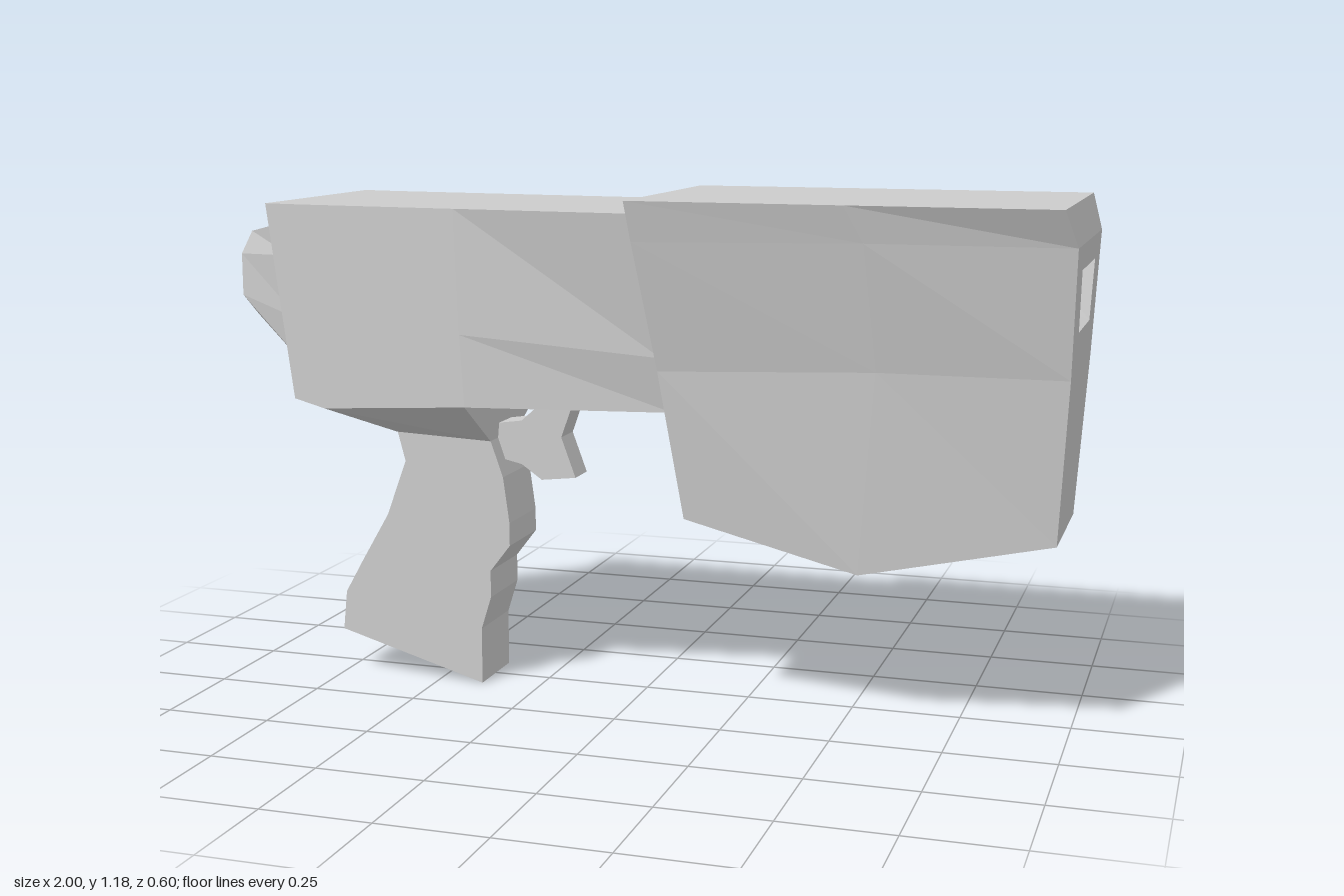
import * as THREE from 'three';

const material = new THREE.MeshStandardMaterial({ color: 0xcccccc, flatShading: true });

function addMesh(group, name, geometry) {
  const mesh = new THREE.Mesh(geometry, material);
  mesh.name = name;
  group.add(mesh);
}

// Loft through columns ordered by x. Each column lists [x, y, halfWidth] from top to
// bottom and is mirrored in z. keepStart / keepEnd choose which cap strips are closed.
function loft(columns, keepStart = () => true, keepEnd = () => true) {
  const loops = columns.map((rows) => [
    ...rows.map(([x, y, w]) => [x, y, w]),
    ...rows.map(([x, y, w]) => [x, y, -w]).reverse(),
  ]);
  const positions = [];
  const quad = (a, b, c, d) => positions.push(...a, ...b, ...c, ...a, ...c, ...d);
  const n = loops[0].length;
  for (let i = 0; i < loops.length - 1; i++) {
    for (let j = 0; j < n; j++) {
      const k = (j + 1) % n;
      quad(loops[i][j], loops[i][k], loops[i + 1][k], loops[i + 1][j]);
    }
  }
  const first = loops[0];
  const last = loops[loops.length - 1];
  for (let j = 0; j < n / 2 - 1; j++) {
    const p = n - 1 - j;
    if (keepStart(j)) quad(first[p], first[p - 1], first[j + 1], first[j]);
    if (keepEnd(j)) quad(last[j], last[j + 1], last[p - 1], last[p]);
  }
  const geometry = new THREE.BufferGeometry();
  geometry.setAttribute('position', new THREE.Float32BufferAttribute(positions, 3));
  geometry.computeVertexNormals();
  return geometry;
}

// Side profile extruded evenly about z = 0
function slab(points, width) {
  const shape = new THREE.Shape(points.map(([x, y]) => new THREE.Vector2(x, y)));
  const geometry = new THREE.ExtrudeGeometry(shape, { depth: width, bevelEnabled: false });
  return geometry.translate(0, 0, -width / 2);
}

export function createModel() {
  const model = new THREE.Group();
  model.name = 'handheldBlaster';

  // Large flared front housing; one strip of its end face is left open for the slot
  const faceTop = [1.0, 1.1, 0.26];
  const faceBottom = [0.99, 0.82, 0.21];
  addMesh(model, 'frontHousing', loft([
    [[0.04, 1.18, 0.3], [0.05, 1.09, 0.278], [0.09, 0.8, 0.212], [0.14, 0.46, 0.17]],
    [[0.52, 1.18, 0.3], [0.56, 1.1, 0.278], [0.58, 0.82, 0.215], [0.54, 0.36, 0.17]],
    [[0.975, 1.18, 0.3], faceTop, faceBottom, [0.97, 0.455, 0.17]],
  ], undefined, (j) => j !== 1));

  // Frame around the slot, its walls and its back panel
  addMesh(model, 'muzzleSlot', loft([
    [faceTop, faceBottom],
    [[0.998, 1.045, 0.14], [0.993, 0.91, 0.115]],
    [[0.88, 1.045, 0.135], [0.88, 0.95, 0.115]],
  ], () => false));

  // Main body, narrowing toward the housing along its lower edge
  addMesh(model, 'body', loft([
    [[-0.835, 1.155, 0.265], [-0.8, 0.89, 0.265], [-0.775, 0.705, 0.265]],
    [[-0.75, 1.154, 0.265], [-0.72, 0.88, 0.265], [-0.7, 0.685, 0.265]],
    [[-0.37, 1.152, 0.265], [-0.36, 0.87, 0.265], [-0.35, 0.705, 0.265]],
    [[0.06, 1.15, 0.265], [0.1, 0.83, 0.215], [0.12, 0.705, 0.19]],
  ]));

  // Tapered cap at the rear
  addMesh(model, 'rearCap', loft([
    [[-0.97, 1.075, 0.085], [-1, 1.02, 0.085], [-1, 0.92, 0.085], [-0.96, 0.875, 0.085]],
    [[-0.82, 1.108, 0.2], [-0.81, 1.03, 0.2], [-0.79, 0.88, 0.2], [-0.775, 0.76, 0.19]],
  ]));

  // Sloped mount between body and grip
  addMesh(model, 'gripMount', loft([
    [[-0.7, 0.685, 0.265], [-0.6, 0.605, 0.087]],
    [[-0.35, 0.705, 0.265], [-0.36, 0.595, 0.087]],
  ]));

  // Contoured pistol grip
  addMesh(model, 'grip', slab([
    [-0.6, 0.61], [-0.58, 0.535], [-0.63, 0.4], [-0.7, 0.28], [-0.745, 0.2],
    [-0.755, 0.105], [-0.39, 0.0], [-0.39, 0.135], [-0.365, 0.215], [-0.365, 0.28],
    [-0.315, 0.345], [-0.315, 0.4], [-0.33, 0.51], [-0.365, 0.61],
  ], 0.174));

  // Trigger
  addMesh(model, 'trigger', slab([
    [-0.37, 0.63], [-0.3, 0.64], [-0.26, 0.675], [-0.175, 0.675], [-0.2, 0.605],
    [-0.165, 0.51], [-0.25, 0.5], [-0.3, 0.535], [-0.345, 0.545],
  ], 0.08));

  return model;
}
